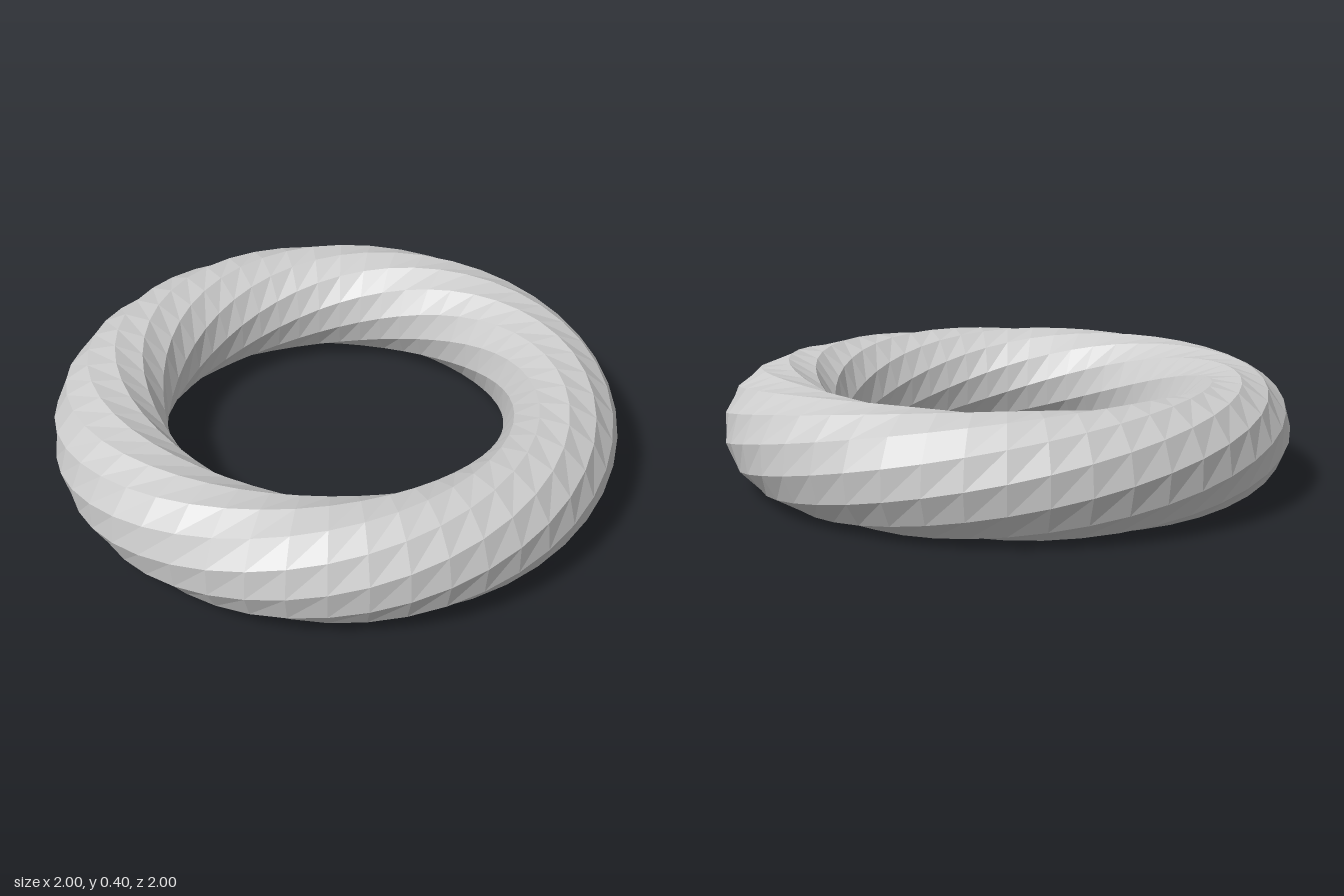
import * as THREE from 'three';

const RING_RADIUS = 0.8;
const TUBE_RADIUS = 0.2;
const SIDES = 12;
const SEGMENTS = 48;

// Torus whose twelve-sided section makes one full turn on its way round
function twistedTorus() {
  const geometry = new THREE.TorusGeometry(RING_RADIUS, TUBE_RADIUS, SIDES, SEGMENTS);
  const position = geometry.attributes.position;
  const uv = geometry.attributes.uv;
  for (let i = 0; i < position.count; i++) {
    const around = uv.getX(i) * Math.PI * 2;
    const section = uv.getY(i) * Math.PI * 2 + around;
    const r = RING_RADIUS + TUBE_RADIUS * Math.cos(section);
    position.setXYZ(i, r * Math.cos(around), r * Math.sin(around), TUBE_RADIUS * Math.sin(section));
  }
  // Lay the ring flat on the ground
  geometry.rotateX(-Math.PI / 2);
  geometry.translate(0, TUBE_RADIUS, 0);
  geometry.computeVertexNormals();
  return geometry;
}

export function createModel() {
  const group = new THREE.Group();
  group.name = 'twistedRing';
  const material = new THREE.MeshStandardMaterial({ color: 0xcccccc, flatShading: true });
  const ring = new THREE.Mesh(twistedTorus(), material);
  ring.name = 'ring';
  group.add(ring);
  return group;
}
